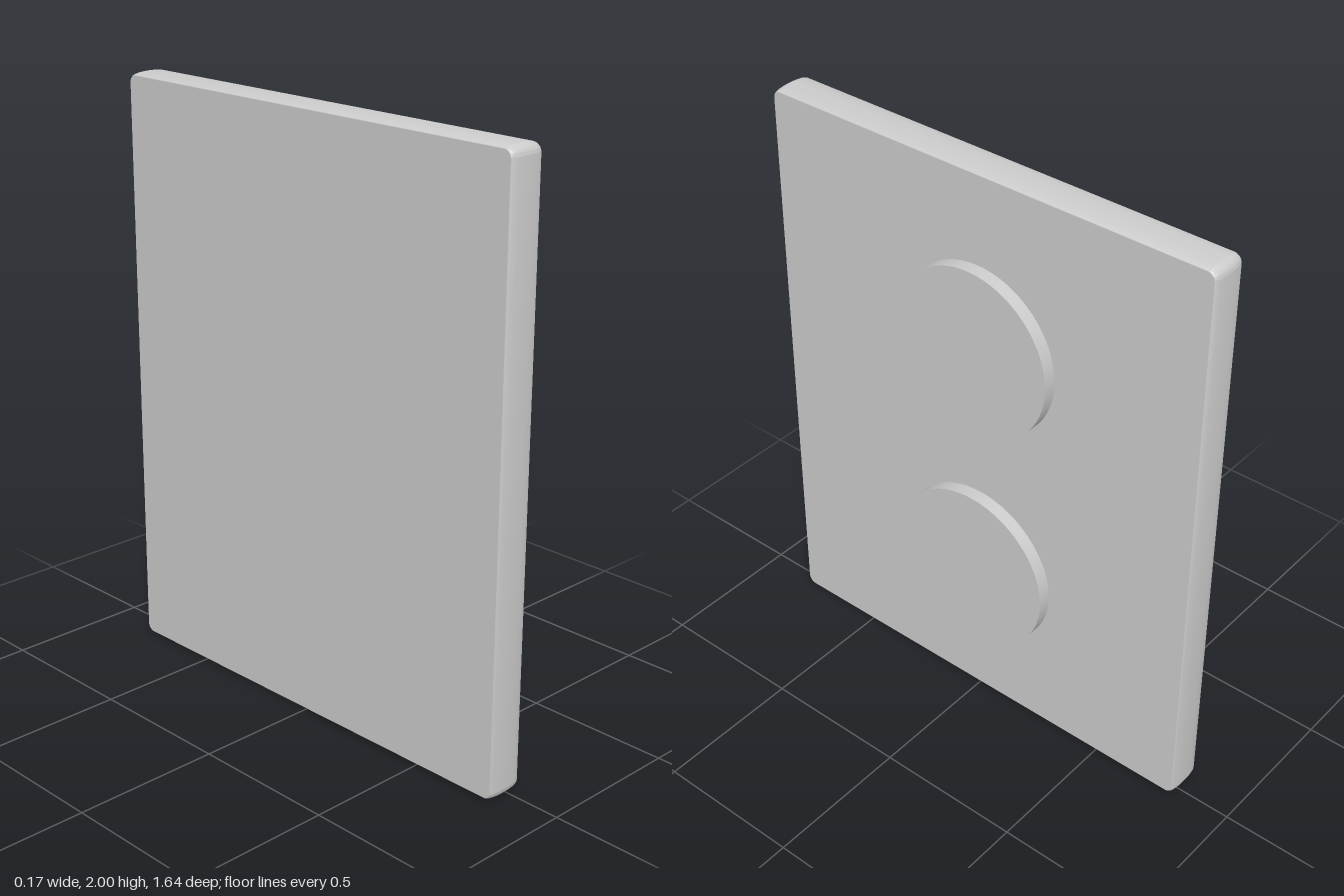
import * as THREE from 'three';
import { toCreasedNormals } from 'three/addons/utils/BufferGeometryUtils.js';

const material = new THREE.MeshStandardMaterial({ color: 0xcccccc });

// Rounded rectangle centred on the origin
function roundedRect(w, h, r) {
  const s = new THREE.Shape();
  const x = w / 2 - r, y = h / 2 - r;
  s.absarc(x, y, r, 0, Math.PI / 2);
  s.absarc(-x, y, r, Math.PI / 2, Math.PI);
  s.absarc(-x, -y, r, Math.PI, Math.PI * 1.5);
  s.absarc(x, -y, r, Math.PI * 1.5, Math.PI * 2);
  return s;
}

export function createModel() {
  const group = new THREE.Group();
  const back = -0.085, face = 0.04, knobFront = 0.085;
  const bulge = 0.01, bevel = 0.06;

  // Upright plate with gently domed edges
  const plateGeometry = new THREE.ExtrudeGeometry(roundedRect(1.636, 2, 0.035), {
    depth: face - back - 2 * bevel,
    bevelThickness: bevel,
    bevelSize: bulge,
    bevelOffset: -bulge,
    bevelSegments: 10,
    curveSegments: 10,
  });
  plateGeometry.translate(0, 0, bevel);
  plateGeometry.rotateY(Math.PI / 2);
  const plate = new THREE.Mesh(toCreasedNormals(plateGeometry, 0.4), material);
  plate.name = 'plate';
  plate.position.set(back, 1, 0);
  group.add(plate);

  // Two round discs, sunk slightly into the face
  const sink = 0.01;
  const thickness = knobFront - face + sink;
  const discGeometry = new THREE.CylinderGeometry(0.291, 0.291, thickness, 96);
  discGeometry.rotateZ(-Math.PI / 2);
  [['upperDisc', 1.4], ['lowerDisc', 0.557]].forEach(([name, y]) => {
    const disc = new THREE.Mesh(discGeometry, material);
    disc.name = name;
    disc.position.set(knobFront - thickness / 2, y, 0);
    group.add(disc);
  });

  return group;
}
